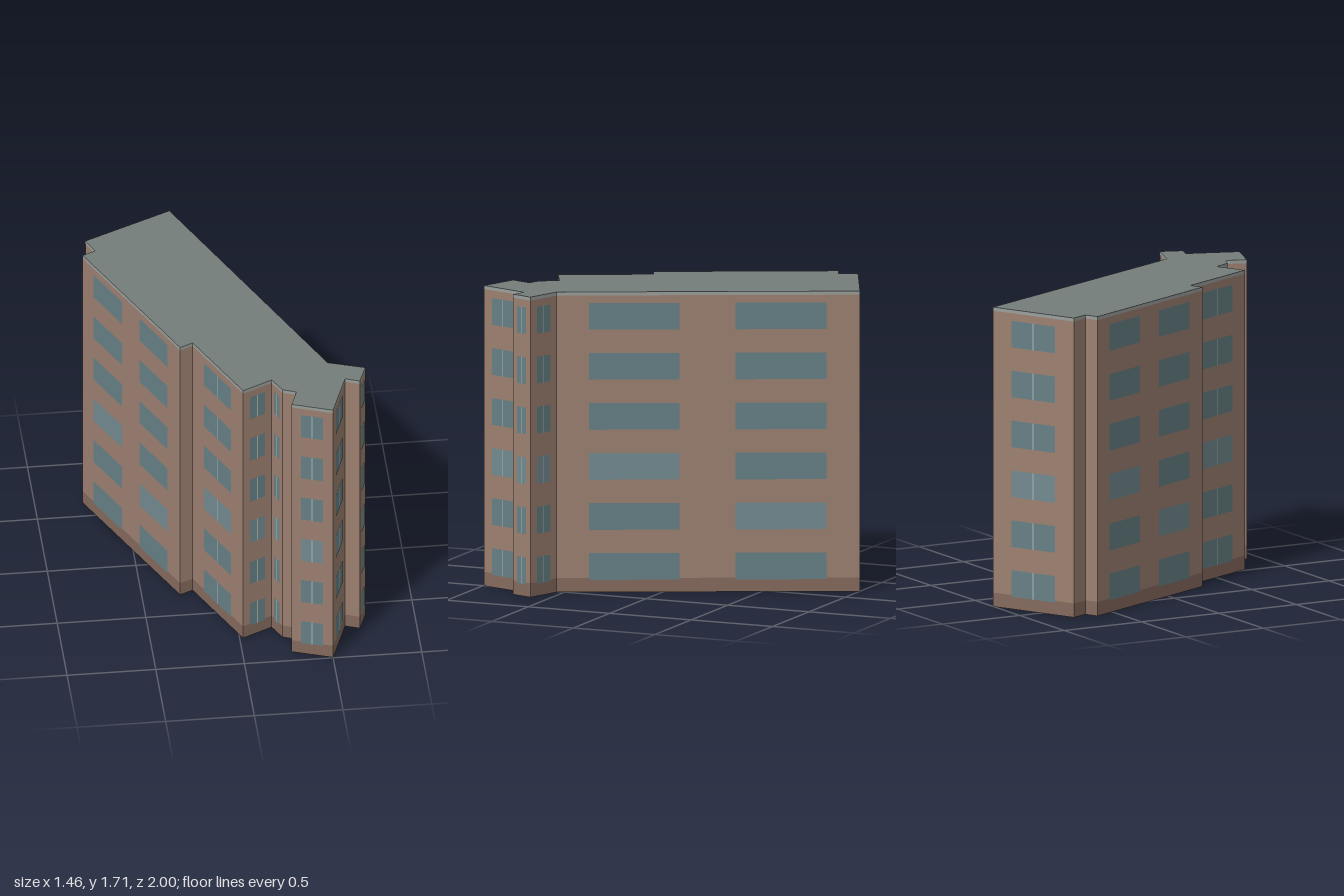
import * as THREE from 'three';

const HEIGHT = 1.71, FLOORS = 6, PITCH = 0.285, SILL = 0.07, WINDOW_H = 0.152;

// Footprint corners [x, z], each with the windows of the wall that starts there.
// A window is [start, end, split]: fractions along the wall, split = centre mullion.
const WALLS = [
  { p: [-0.20, -1.00], windows: [[0.11, 0.41], [0.595, 0.893]] },
  { p: [0.52, 0.54], windows: [[0.24, 0.76, true]] },
  { p: [0.725, 0.61], windows: [[0.24, 0.76, true]] },
  { p: [0.68, 0.735], windows: [] },
  { p: [0.60, 0.705], windows: [[0.25, 0.79, true]] },
  { p: [0.50, 0.995], windows: [[0.24, 0.77, true]] },
  { p: [0.275, 0.915], windows: [[0.24, 0.76, true]] },
  { p: [0.315, 0.80], windows: [] },
  { p: [0.24, 0.77], windows: [[0.24, 0.76, true]] },
  { p: [0.19, 0.67], windows: [[0.24, 0.77, true]] },
  { p: [0.02, 0.755], windows: [[0.235, 0.775, true]] },
  { p: [-0.21, 0.27], windows: [] },
  { p: [-0.285, 0.305], windows: [[0.125, 0.415], [0.595, 0.885]] },
  { p: [-0.73, -0.63], windows: [] },
  { p: [-0.655, -0.665], windows: [] },
  { p: [-0.70, -0.765], windows: [[0.23, 0.77, true]] },
];

const paint = (color, side = THREE.FrontSide) => new THREE.MeshStandardMaterial({ color, side });

export function createModel() {
  const model = new THREE.Group();
  model.name = 'apartmentBlock';
  const brick = paint(0x9c8070, THREE.DoubleSide);
  const plinth = paint(0x856a5d);
  const trim = paint(0x9a9f9c);
  const glass = paint(0x668085);
  const paleGlass = paint(0x728a90);
  const frame = paint(0xb0b8b8);
  const roofing = paint(0x747d79, THREE.DoubleSide);

  WALLS.forEach(({ p: a, windows }, i) => {
    const b = WALLS[(i + 1) % WALLS.length].p;
    const dx = b[0] - a[0], dz = b[1] - a[1];
    const length = Math.hypot(dx, dz);
    const nx = dz / length, nz = -dx / length;
    const wall = new THREE.Group();
    wall.name = 'wall' + (i + 1);

    // Upright panel facing outwards, from t0 to t1 along the wall
    const panel = (name, material, t0, t1, y0, y1, out) => {
      const mesh = new THREE.Mesh(new THREE.PlaneGeometry((t1 - t0) * length, y1 - y0), material);
      const t = (t0 + t1) / 2;
      mesh.position.set(a[0] + dx * t + nx * out, (y0 + y1) / 2, a[1] + dz * t + nz * out);
      mesh.rotation.y = Math.atan2(nx, nz);
      mesh.name = name;
      wall.add(mesh);
    };

    panel('facade', brick, 0, 1, 0, HEIGHT, 0);
    panel('plinth', plinth, 0, 1, 0, 0.08, 0.001);
    panel('roofTrim', trim, 0, 1, HEIGHT - 0.02, HEIGHT, 0.001);

    // Windows on every floor, one floor of each column slightly paler
    windows.forEach(([t0, t1, split], column) => {
      for (let floor = 0; floor < FLOORS; floor++) {
        const y = SILL + floor * PITCH;
        const pale = floor === (split ? 2 : 1 + column);
        panel('window', pale ? paleGlass : glass, t0, t1, y, y + WINDOW_H, 0.002);
        if (split) {
          const mid = (t0 + t1) / 2, half = 0.0025 / length;
          panel('mullion', frame, mid - half, mid + half, y, y + WINDOW_H, 0.003);
        }
      }
    });
    model.add(wall);
  });

  // Flat roof over the footprint
  const outline = new THREE.Shape(WALLS.map(({ p }) => new THREE.Vector2(p[0], -p[1])));
  const roof = new THREE.Mesh(new THREE.ShapeGeometry(outline).rotateX(-Math.PI / 2), roofing);
  roof.position.y = HEIGHT;
  roof.name = 'roof';
  model.add(roof);
  return model;
}
